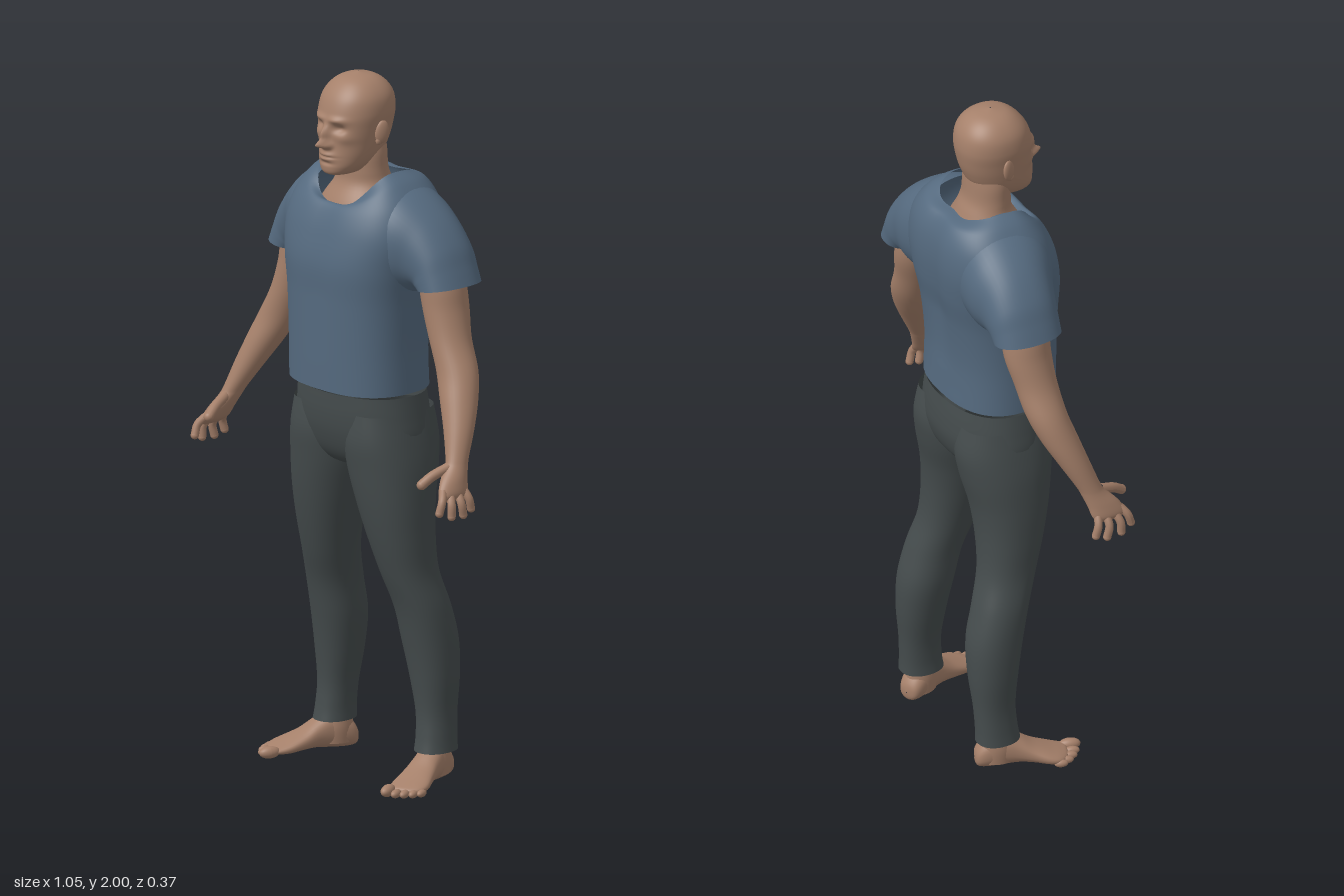
import * as THREE from 'three';

const skin = new THREE.MeshStandardMaterial({ color: 0xa5806a });
skin.name = 'skin';
const shirt = new THREE.MeshStandardMaterial({ color: 0x556a7f, side: THREE.DoubleSide });
shirt.name = 'blue cloth';
const cloth = new THREE.MeshStandardMaterial({ color: 0x454c4d, side: THREE.DoubleSide });
cloth.name = 'grey cloth';

const pw = (v, p) => Math.sign(v) * Math.abs(v) ** p;
const bump = (x, y, cx, cy, sx, sy) => Math.exp(-(((x - cx) / sx) ** 2) - ((y - cy) / sy) ** 2);

// Catmull-Rom blend of key rows
function blend(keys, t) {
  const n = keys.length - 1, f = Math.min(t * n, n - 1e-6), i = Math.floor(f), u = f - i;
  const k = (j) => keys[Math.max(0, Math.min(n, j))];
  return keys[i].map((_, c) => {
    const a = k(i - 1)[c], b = k(i)[c], d = k(i + 1)[c], e = k(i + 2)[c];
    return 0.5 * (2 * b + (d - a) * u + (2 * a - 5 * b + 4 * d - e) * u * u + (3 * b - a - 3 * d + e) * u ** 3);
  });
}

// Skin a closed ring section along the key rows, facing outwards
function loft(keys, point, rows, cols) {
  const pos = [], idx = [];
  for (let i = 0; i <= rows; i++) {
    const k = blend(keys, i / rows);
    for (let j = 0; j < cols; j++) {
      const a = (j / cols) * Math.PI * 2;
      pos.push(...point(k, Math.sin(a), Math.cos(a)));
    }
  }
  for (let i = 0; i < rows; i++) for (let j = 0; j < cols; j++) {
    const a = i * cols + j, b = i * cols + (j + 1) % cols, c = b + cols, d = a + cols;
    idx.push(a, b, c, a, c, d);
  }
  const g = new THREE.BufferGeometry();
  g.setAttribute('position', new THREE.Float32BufferAttribute(pos, 3));
  g.setIndex(idx);
  g.computeBoundingBox();
  const mid = g.boundingBox.getCenter(new THREE.Vector3());
  const v = [0, 1, 2].map(() => new THREE.Vector3());
  let volume = 0;
  for (let i = 0; i < idx.length; i += 3) {
    v.forEach((q, n) => q.fromArray(pos, idx[i + n] * 3).sub(mid));
    volume += v[0].dot(v[1].cross(v[2]));
  }
  if (volume < 0) g.setIndex(idx.reverse());
  g.computeVertexNormals();
  return g;
}

function mirrored(geo) {
  const g = geo.clone().scale(-1, 1, 1);
  g.setIndex(Array.from(g.index.array).reverse());
  g.computeVertexNormals();
  return g;
}

// Section shapes
const level = ([y, cx, rx, cz, rz], s, c) => [cx + rx * s, y, cz + rz * c];
const span = ([y, x0, x1, zf, zb], s, c) =>
  [(x0 + x1) / 2 + (x1 - x0) / 2 * pw(s, 0.9), y, (zf + zb) / 2 + (zf - zb) / 2 * pw(c, 0.9)];

function torsoPoint([y, dF, dB, w, zf, zb], s, c) {
  const x = w * pw(s, 0.8);
  const fade = Math.max(0, Math.min(1, (y - 1.2) / 0.2));
  let z = (zf + zb) / 2 + (zf - zb) / 2 * pw(c, 0.8);
  z += (c < 0 ? 0.013 : -0.006) * fade * Math.exp(-((x / 0.045) ** 2));
  return [x, y + (c > 0 ? dF : dB) * c * c, z];
}

function headPoint([y, w, zf, zb], s, c) {
  const x = w * pw(s, 0.92), ax = Math.abs(x);
  let z = (zf + zb) / 2 + (zf - zb) / 2 * pw(c, 0.92);
  if (c > 0) {
    z += 0.036 * bump(x, y, 0, 1.817, 0.013, 0.012) + 0.022 * bump(x, y, 0, 1.843, 0.011, 0.024); // nose
    z += 0.012 * bump(ax, y, 0.014, 1.812, 0.008, 0.008);                                        // nostrils
    z -= 0.014 * bump(ax, y, 0.037, 1.862, 0.019, 0.012);                                        // sockets
    z += 0.007 * bump(ax, y, 0.032, 1.886, 0.028, 0.009);                                        // brow
    z += 0.005 * bump(ax, y, 0.058, 1.835, 0.02, 0.015);                                         // cheeks
    z += 0.011 * bump(x, y, 0, 1.781, 0.028, 0.014) - 0.009 * bump(x, y, 0, 1.78, 0.026, 0.0035); // mouth
    z -= 0.005 * bump(x, y, 0, 1.762, 0.022, 0.006);                                             // under lip
  }
  return [x, y, z];
}

export function createModel() {
  const model = new THREE.Group();
  model.name = 'standing man';
  const add = (name, geo, mat) => {
    const m = new THREE.Mesh(geo, mat);
    m.name = name;
    model.add(m);
  };
  const pair = (name, geo, mat) => {
    add('left ' + name, geo, mat);
    add('right ' + name, mirrored(geo), mat);
  };
  const ball = (x, y, z, rx, ry, rz) =>
    new THREE.SphereGeometry(1, 20, 14).scale(rx, ry, rz).translate(x, y, z);

  // Head and neck
  add('head', loft([
    [1.724, 0.004, 0.1, 0.08], [1.73, 0.04, 0.126, 0.02], [1.75, 0.061, 0.133, -0.02], [1.78, 0.076, 0.13, -0.055],
    [1.82, 0.086, 0.127, -0.075], [1.86, 0.093, 0.129, -0.086], [1.9, 0.098, 0.124, -0.091],
    [1.94, 0.093, 0.11, -0.085], [1.97, 0.074, 0.087, -0.066], [1.99, 0.045, 0.057, -0.036], [2, 0.002, 0.012, 0.008],
  ], headPoint, 120, 128), skin);
  add('neck', loft([
    [1.57, 0.16, 0, 0.01, 0.11], [1.64, 0.122, 0, -0.004, 0.095], [1.69, 0.088, 0, -0.01, 0.074],
    [1.73, 0.08, 0, -0.004, 0.064], [1.78, 0.078, 0, -0.002, 0.062], [1.82, 0.07, 0, -0.002, 0.06],
  ].map(([y, rx, cx, cz, rz]) => [y, cx, rx, cz, rz]), level, 24, 40), skin);
  pair('eye', ball(0.036, 1.862, 0.096, 0.014, 0.009, 0.012), skin);
  const ear = ball(0, 0, 0, 0.009, 0.033, 0.02).rotateX(-0.15).rotateY(-0.35).translate(0.098, 1.848, 0.012);
  pair('ear', ear, skin);
  pair('ear lobe', ball(0.094, 1.823, 0.02, 0.007, 0.012, 0.01), skin);

  // Shirt body, with a scooped neckline at the top
  add('shirt body', loft([
    [1.122, 0, 0, 0.205, 0.163, -0.148], [1.25, 0, 0, 0.203, 0.167, -0.146], [1.38, 0, 0, 0.208, 0.171, -0.16],
    [1.48, 0, 0, 0.222, 0.174, -0.18], [1.57, -0.005, 0, 0.235, 0.158, -0.188], [1.645, -0.025, 0, 0.215, 0.138, -0.18],
    [1.705, -0.06, -0.01, 0.17, 0.118, -0.155], [1.735, -0.1, -0.03, 0.128, 0.098, -0.118],
  ], torsoPoint, 56, 72), shirt);

  // Sleeves: top point, bottom point, depth centre and half depth
  pair('sleeve', loft([
    [0.11, 1.725, 0.12, 1.4, -0.03, 0.135], [0.2, 1.683, 0.18, 1.4, -0.035, 0.132],
    [0.272, 1.627, 0.212, 1.41, -0.045, 0.112], [0.325, 1.56, 0.228, 1.422, -0.05, 0.103],
    [0.352, 1.5, 0.235, 1.428, -0.05, 0.1], [0.371, 1.452, 0.24, 1.432, -0.05, 0.099],
  ], ([tx, ty, bx, by, cz, hz], s, c) => {
    const k = pw(c, 0.92);
    return [(tx + bx) / 2 + (tx - bx) / 2 * k, (ty + by) / 2 + (ty - by) / 2 * k, cz + hz * pw(s, 0.92)];
  }, 30, 48), shirt);

  // Arms down to the palm
  pair('arm', loft([
    [1.56, 0.255, 0.05, -0.045, 0.055], [1.46, 0.28, 0.064, -0.045, 0.066], [1.38, 0.297, 0.062, -0.045, 0.067],
    [1.3, 0.325, 0.058, -0.036, 0.06], [1.22, 0.364, 0.06, -0.026, 0.057], [1.15, 0.396, 0.054, -0.004, 0.053],
    [1.08, 0.427, 0.043, 0.024, 0.044], [1.01, 0.454, 0.03, 0.054, 0.035], [0.985, 0.463, 0.027, 0.066, 0.036],
    [0.95, 0.477, 0.025, 0.088, 0.046], [0.918, 0.49, 0.019, 0.101, 0.05], [0.902, 0.496, 0.003, 0.104, 0.03],
  ], level, 60, 32), skin);

  // Fingers: knuckle, middle joint and tip
  const fingers = {
    'index finger': [[0.486, 0.93, 0.135], [0.502, 0.905, 0.153], [0.502, 0.876, 0.163]],
    'middle finger': [[0.49, 0.925, 0.113], [0.51, 0.895, 0.125], [0.512, 0.862, 0.127]],
    'ring finger': [[0.49, 0.925, 0.088], [0.511, 0.893, 0.09], [0.511, 0.859, 0.083]],
    'little finger': [[0.487, 0.93, 0.066], [0.506, 0.9, 0.058], [0.506, 0.87, 0.05]],
    thumb: [[0.458, 0.985, 0.09], [0.445, 0.965, 0.14], [0.437, 0.945, 0.17]],
  };
  for (const [name, pts] of Object.entries(fingers)) {
    const curve = new THREE.CatmullRomCurve3(pts.map((p) => new THREE.Vector3(...p)));
    const r = name === 'thumb' ? 0.014 : 0.0115;
    pair(name, new THREE.TubeGeometry(curve, 10, r, 12), skin);
    pair(name + ' tip', ball(...pts[2], r, r, r), skin);
  }

  // Trousers: hips and two legs
  add('trouser hips', loft([
    [1.11, -0.198, 0.198, 0.14, -0.148], [1.05, -0.207, 0.207, 0.138, -0.154], [0.99, -0.213, 0.213, 0.128, -0.152],
    [0.93, -0.2, 0.2, 0.105, -0.13], [0.895, -0.1, 0.1, 0.07, -0.085], [0.885, -0.01, 0.01, 0.01, -0.02],
  ], span, 30, 56), cloth);
  pair('trouser leg', loft([
    [1.06, 0.02, 0.2, 0.12, -0.14], [0.98, 0.002, 0.217, 0.127, -0.152], [0.9, 0.004, 0.229, 0.117, -0.141],
    [0.8, 0.03, 0.234, 0.1, -0.118], [0.7, 0.058, 0.235, 0.077, -0.109], [0.6, 0.084, 0.237, 0.048, -0.114],
    [0.5, 0.104, 0.254, 0.014, -0.141], [0.4, 0.112, 0.26, -0.008, -0.164], [0.3, 0.13, 0.259, -0.025, -0.165],
    [0.2, 0.15, 0.253, -0.036, -0.155], [0.13, 0.156, 0.256, -0.032, -0.151], [0.088, 0.155, 0.26, -0.025, -0.151],
  ], span, 60, 40), cloth);

  // Feet, turned outwards, with the ankle at the local origin
  const foot = (g) => g.rotateY(0.35).translate(0.205, 0, -0.09);
  pair('ankle', foot(loft([
    [0.16, 0, 0.036, -0.004, 0.042], [0.1, 0, 0.039, 0, 0.046], [0.06, 0, 0.042, 0.002, 0.052], [0.02, 0, 0.038, 0, 0.05],
  ], level, 12, 28)), skin);
  pair('foot', foot(loft([
    [-0.062, 0.002, 0.036, 0.03, 0], [-0.056, 0.026, 0.06, 0.008, 0], [-0.03, 0.037, 0.09, 0.002, 0],
    [0.02, 0.039, 0.11, 0.004, 0], [0.06, 0.041, 0.09, 0.008, 0], [0.1, 0.047, 0.064, 0.007, 0],
    [0.145, 0.054, 0.044, 0.003, 0.002], [0.175, 0.05, 0.033, 0.004, 0], [0.195, 0.034, 0.025, 0.008, -0.01],
    [0.2, 0.002, 0.017, 0.014, -0.012],
  ], ([z, w, top, bot, cx], s, c) => [cx + w * s, (top + bot) / 2 + (top - bot) / 2 * pw(c, 0.85), z], 36, 32)), skin);
  const toes = [[-0.036, 0.21, 0.017], [-0.01, 0.212, 0.012], [0.012, 0.203, 0.0115], [0.032, 0.19, 0.011], [0.048, 0.172, 0.011]];
  toes.forEach(([x, z, r], i) => pair('toe ' + (i + 1), foot(ball(x, r + 0.001, z, r, r, r * 1.8)), skin));

  return model;
}
